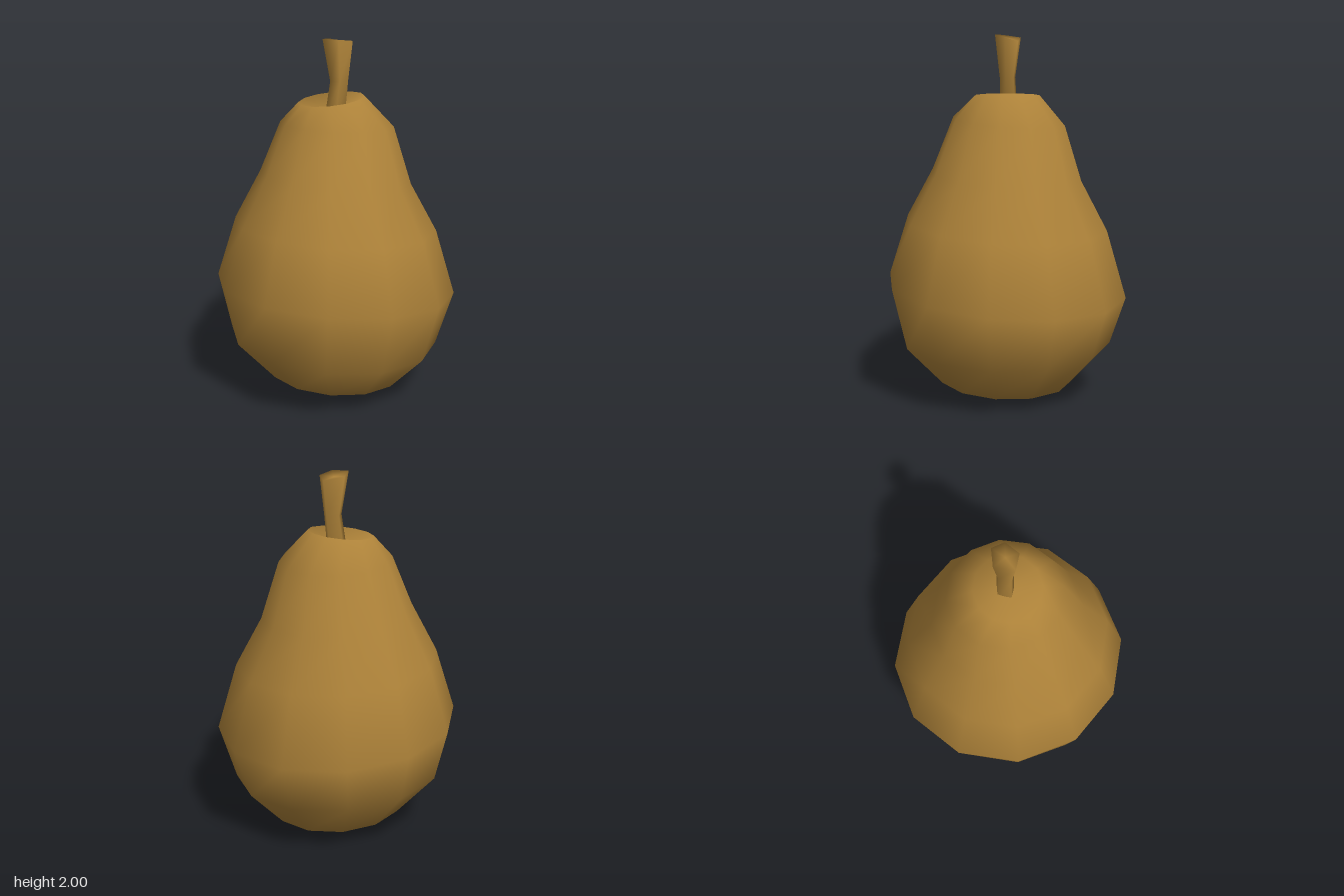
import * as THREE from 'three';

// Closed smooth skin over rings of points, listed bottom to top, with a pole at each end.
// Points in each ring run from +x towards +z.
function loft(rings, bottomPole, topPole) {
  const n = rings[0].length;
  const points = [...rings.flat(), bottomPole, topPole];
  const low = rings.length * n, high = low + 1, last = (rings.length - 1) * n;
  const index = [];
  for (let i = 0; i < n; i++) {
    const j = (i + 1) % n;
    for (let r = 0; r < rings.length - 1; r++) {
      const a = r * n + i, b = r * n + j;
      index.push(a, a + n, b, b, a + n, b + n);
    }
    index.push(low, i, j);
    index.push(high, last + j, last + i);
  }
  const geometry = new THREE.BufferGeometry();
  geometry.setAttribute('position', new THREE.Float32BufferAttribute(points.flat(), 3));
  geometry.setIndex(index);
  geometry.computeVertexNormals();
  return geometry;
}

// Twelve-sided ring, tilted by the slopes along x and z
function bodyRing([radius, y, slopeX, slopeZ, cx = 0, cz = 0]) {
  return Array.from({ length: 12 }, (_, i) => {
    const a = (i / 12) * Math.PI * 2 + 0.055;
    const x = Math.cos(a) * radius, z = Math.sin(a) * radius;
    return [x + cx, y + slopeX * x + slopeZ * z, z + cz];
  });
}

export function createModel() {
  const group = new THREE.Group();
  group.name = 'pear';
  const skin = new THREE.MeshStandardMaterial({ color: 0xad8239 });
  skin.name = 'golden brown';

  // Fruit: radius, height, slope along x, slope along z, centre offset
  const bodyRings = [
    [0.12, 0.055, 0, 0.02, -0.01, 0.02],
    [0.375, 0.08, -0.035, 0.06, 0, 0.01],
    [0.585, 0.305, -0.055, 0.045, -0.01, 0.01],
    [0.668, 0.61, -0.02, 0.1],
    [0.56, 0.965, -0.02, 0.08],
    [0.415, 1.235, -0.04, 0.1],
    [0.31, 1.53, 0, 0.08, 0, -0.015],
    [0.18, 1.67, 0.09, -0.06, -0.02, 0.01],
  ].map(bodyRing);
  const body = new THREE.Mesh(loft(bodyRings, [-0.01, 0, 0.03], [0, 1.6, 0]), skin);
  body.name = 'fruitBody';
  group.add(body);

  // Stem: five-sided, pinched in the middle and flared at the cut end
  const stemTop = [
    [0.08, 1.985, -0.045], [0.045, 2, 0.045], [-0.045, 2, 0.06],
    [-0.065, 1.985, -0.05], [0.035, 1.965, -0.1],
  ];
  const stemRing = (y, scale, cx, cz) =>
    stemTop.map(([x, , z]) => [x * scale + cx, y, z * scale + cz]);
  const stemRings = [
    stemRing(1.56, 0.68, -0.015, 0),
    stemRing(1.77, 0.6, 0.01, -0.008),
    stemTop,
  ];
  const stem = new THREE.Mesh(loft(stemRings, [-0.015, 1.55, 0], [0.01, 1.975, -0.015]), skin);
  stem.name = 'stem';
  group.add(stem);

  return group;
}
